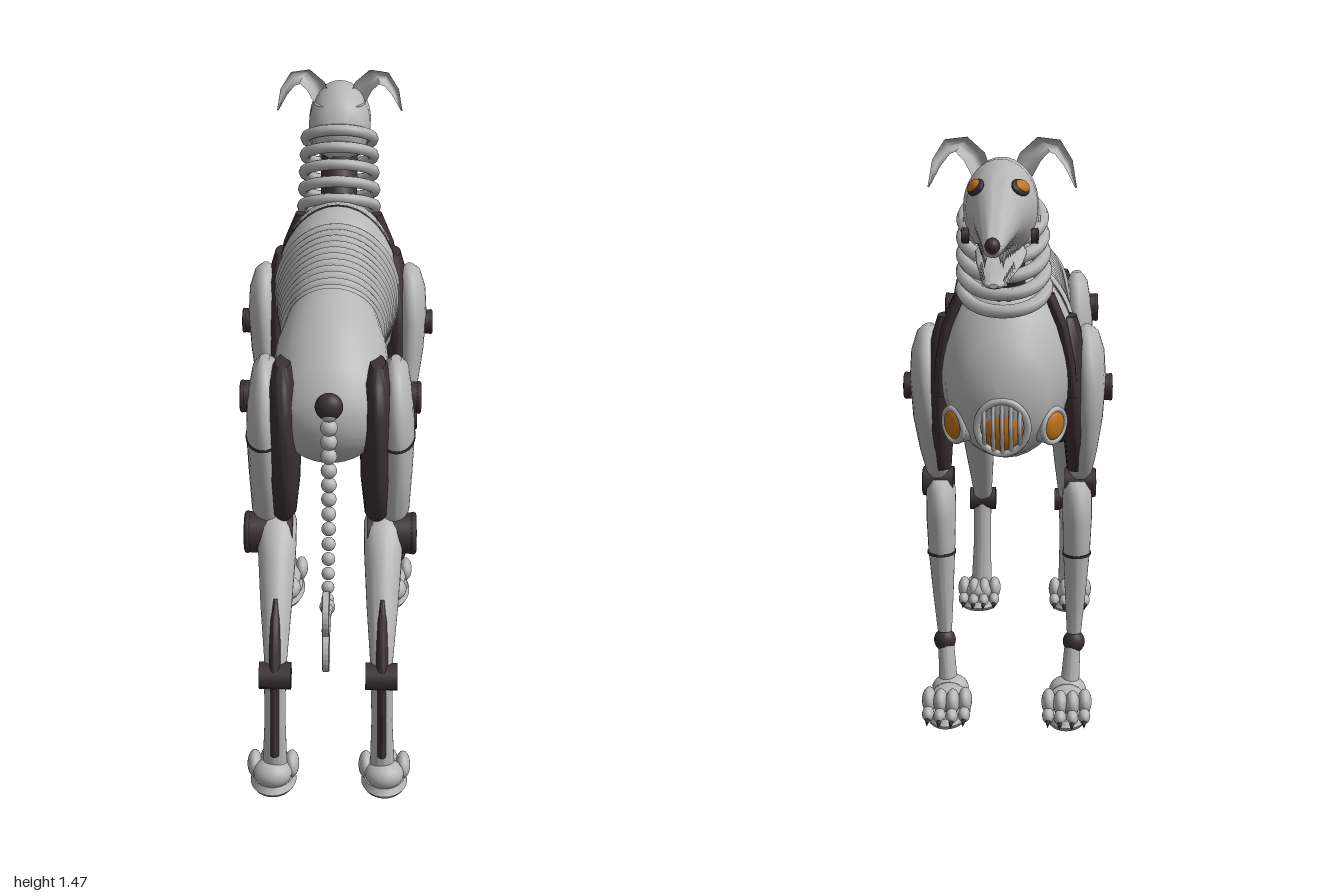
import * as THREE from 'three';
import { toCreasedNormals } from 'three/addons/utils/BufferGeometryUtils.js';

const V = (x, y, z) => new THREE.Vector3(x, y, z);

export function createModel() {
  const model = new THREE.Group();
  const mat = (name, color) => new THREE.MeshStandardMaterial({ name, color });
  const steel = mat('steel grey', 0xb6b6b6);
  const dark = mat('dark joint', 0x3a3032);
  const amber = mat('amber glass', 0xc0741c);

  const add = (name, geo, material, parent = model) => {
    const mesh = new THREE.Mesh(geo, material);
    mesh.name = name;
    parent.add(mesh);
    return mesh;
  };

  // Skin over elliptical sections [centre, axisU, axisV], with capped ends
  function loft(name, material, sections, n = 28) {
    const pos = [], idx = [], m = sections.length;
    for (const [c, u, v] of sections)
      for (let j = 0; j < n; j++) {
        const t = (j / n) * Math.PI * 2;
        pos.push(...c.clone().addScaledVector(u, Math.cos(t)).addScaledVector(v, Math.sin(t)).toArray());
      }
    const [c0, u0, v0] = sections[1];
    const flip = u0.clone().cross(v0).dot(sections[m - 1][0].clone().sub(c0)) < 0;
    const tri = (a, b, c) => (flip ? idx.push(a, c, b) : idx.push(a, b, c));
    for (let i = 0; i < m - 1; i++)
      for (let j = 0; j < n; j++) {
        const k = (j + 1) % n, a = i * n, b = a + n;
        tri(a + j, a + k, b + j);
        tri(a + k, b + k, b + j);
      }
    pos.push(...sections[0][0].toArray(), ...sections[m - 1][0].toArray());
    for (let j = 0; j < n; j++) {
      const k = (j + 1) % n;
      tri(m * n, k, j);
      tri(m * n + 1, (m - 1) * n + j, (m - 1) * n + k);
    }
    const g = new THREE.BufferGeometry();
    g.setAttribute('position', new THREE.Float32BufferAttribute(pos, 3));
    g.setIndex(idx);
    return add(name, toCreasedNormals(g, 0.9), material);
  }
  // Body rows: [zTop, yTop, zBottom, yBottom, halfWidth]
  const hull = (name, m, rows) => loft(name, m, rows.map(([zt, yt, zb, yb, w]) =>
    [V(0, (yt + yb) / 2, (zt + zb) / 2), V(w, 0, 0), V(0, (yt - yb) / 2, (zt - zb) / 2)]), 36);
  // Limb rows: [y, x, z, halfX, halfZ]
  const limb = (name, m, s, rows) => loft(name, m, rows.map(([y, x, z, rx, rz]) =>
    [V(s * x, y, z), V(rx, 0, 0), V(0, 0, rz)]));
  // Elliptical wire ring
  const ring = (name, m, c, u, v, r) => {
    const pts = Array.from({ length: 24 }, (_, i) => {
      const t = (i / 24) * Math.PI * 2;
      return c.clone().addScaledVector(u, Math.cos(t)).addScaledVector(v, Math.sin(t));
    });
    return add(name, new THREE.TubeGeometry(new THREE.CatmullRomCurve3(pts, true), 48, r, 8, true), m);
  };
  const tube = (name, m, pts, r) =>
    add(name, new THREE.TubeGeometry(new THREE.CatmullRomCurve3(pts), 24, r, 10), m);
  const ball = (name, m, p, rx, ry = rx, rz = rx) => {
    const b = add(name, new THREE.SphereGeometry(1, 20, 14), m);
    b.position.copy(p);
    b.scale.set(rx, ry, rz);
    return b;
  };
  const cone = (name, m, p, dir, r, h) => {
    const c = add(name, new THREE.ConeGeometry(r, h, 8), m);
    c.position.copy(p);
    c.quaternion.setFromUnitVectors(V(0, 1, 0), dir.clone().normalize());
  };
  // Round boss: rim, disc and domed centre facing along a direction
  function boss(name, p, dir, r, rimMat, discMat, centreMat, depth = 0.03) {
    const g = new THREE.Group();
    g.name = name;
    g.position.copy(p);
    g.quaternion.setFromUnitVectors(V(0, 1, 0), dir.clone().normalize());
    add('disc', new THREE.CylinderGeometry(r, r, depth, 24), discMat, g);
    const rim = add('rim', new THREE.TorusGeometry(r * 0.88, r * 0.16, 8, 28), rimMat, g);
    rim.rotation.x = Math.PI / 2;
    rim.position.y = depth / 2;
    const dome = add('centre', new THREE.SphereGeometry(r * 0.62, 20, 12), centreMat, g);
    dome.scale.y = 0.3;
    dome.position.y = depth / 2;
    model.add(g);
    return g;
  }

  // Torso
  hull('rump', steel, [[.34, 1.155, .22, .91, .115], [.42, 1.14, .32, .85, .135], [.5, 1.1, .42, .8, .143],
    [.57, 1.04, .52, .78, .135], [.615, .99, .58, .8, .11], [.635, .93, .62, .85, .05]]);
  hull('chest', steel, [[-.185, 1.12, -.11, .79, .13], [-.2, 1.145, -.11, .765, .15], [-.27, 1.16, -.2, .7, .165],
    [-.35, 1.162, -.3, .68, .17], [-.43, 1.15, -.42, .69, .16], [-.5, 1.09, -.5, .71, .14],
    [-.56, 1, -.555, .74, .105], [-.585, .94, -.58, .79, .06], [-.593, .88, -.593, .85, .015]]);
  ring('chestSeam', dark, V(0, .921, -.305), V(.168, 0, 0), V(0, .241, -.02), .003);
  for (let k = 0; k < 11; k++) {
    const zt = .32 - .05 * k, yb = Math.max(.75, .885 - k * .017);
    ring('rib', steel, V(0, (1.14 + yb) / 2, zt - .065), V(.112 + .004 * k, 0, 0), V(0, (1.14 - yb) / 2, .065), .017);
  }
  tube('spine', dark, [V(0, 1.07, .35), V(0, 1.08, .1), V(0, 1.06, -.25)], .025);
  loft('breastboneSpur', steel, [[.05, .77, .002], [.01, .742, .009], [-.06, .715, .015], [-.14, .7, .02], [-.24, .69, .02]]
    .map(([z, y, r]) => [V(0, y, z), V(r * 1.4, 0, 0), V(0, r, 0)]), 12);

  // Chest grille
  ball('grilleGlass', amber, V(0, .795, -.565), .05, .058, .025);
  ring('grilleRim', steel, V(0, .795, -.578), V(.06, 0, 0), V(0, .065, -.012), .009);
  for (let i = -2; i <= 2; i++) {
    const x = i * .021, h = .062 * Math.sqrt(1 - (x / .062) ** 2);
    tube('grilleBar', steel, [V(x, .795 - h, -.57), V(x, .795, -.597), V(x, .795 + h, -.588)], .005);
  }

  // Neck rings around a dark core
  tube('neckCore', dark, [V(0, 1.06, -.43), V(0, 1.17, -.5), V(0, 1.3, -.57)], .05);
  for (let k = 0; k < 5; k++)
    ring('neckRing', steel, V(0, 1.115 + .043 * k, -.475 - .019 * k), V(.1 - .002 * k, 0, 0), V(0, .047, .084), .016);

  // Head
  hull('skull', steel, [[-.475, 1.34, -.47, 1.3, .03], [-.5, 1.395, -.495, 1.24, .068], [-.57, 1.43, -.57, 1.21, .085],
    [-.64, 1.43, -.65, 1.21, .086], [-.72, 1.41, -.72, 1.24, .075], [-.78, 1.38, -.78, 1.247, .056],
    [-.88, 1.325, -.88, 1.243, .036], [-.96, 1.285, -.96, 1.24, .022], [-.985, 1.275, -.985, 1.25, .012]]);
  hull('lowerJaw', steel, [[-.58, 1.24, -.58, 1.21, .05], [-.62, 1.235, -.62, 1.195, .06], [-.7, 1.21, -.7, 1.183, .052],
    [-.82, 1.197, -.82, 1.173, .036], [-.91, 1.187, -.91, 1.166, .023], [-.932, 1.18, -.932, 1.17, .01]]);
  ball('nose', dark, V(0, 1.268, -.978), .017, .018, .02);

  for (const s of [1, -1]) {
    const P = (x, y, z) => V(s * x, y, z), out = V(s, 0, 0);

    // Face
    const eyeDir = V(s * .75, .6, -.25);
    for (const [name, m, k, lift] of [['eyeRim', dark, 1, 0], ['eye', amber, .78, .005]]) {
      const e = ball(name, m, P(.05, 1.374, -.745).addScaledVector(eyeDir, lift), .04 * k, .022 * k, .011);
      e.lookAt(e.position.clone().add(eyeDir));
    }
    boss('jawPivot', P(.078, 1.258, -.668), out, .018, dark, dark, steel, .014);
    boss('cheekStud', P(.08, 1.28, -.575), out, .016, steel, steel, steel, .014);
    for (let i = 0; i < 7; i++) {
      const z = -.76 - i * .032, x = .048 - i * .0045, long = i === 5 ? .038 : .024;
      cone('upperTooth', steel, P(x * .8, 1.25 - long / 2, z), V(0, -1, 0), .007, long);
      if (i < 5) cone('lowerTooth', steel, P(x * .75, 1.2 - i * .004, z - .014), V(0, 1, 0), .006, .024);
    }
    // Ear: flattened horn curling outward; rows are x, y, z, half depth, half thickness, tilt
    loft('ear', steel, [[.045, 1.385, -.565, .052, .025, 0], [.065, 1.43, -.565, .05, .026, .35],
      [.095, 1.458, -.56, .045, .022, .9], [.128, 1.452, -.56, .036, .018, 1.9], [.153, 1.415, -.565, .022, .012, 2.5],
      [.171, 1.36, -.575, .003, .002, 2.8]].map(([x, y, z, d, t, a]) =>
      [P(x, y, z), V(s * t * Math.cos(a), -t * Math.sin(a), 0), V(0, 0, d)]), 20);

    // Chest lamp
    boss('chestLamp', P(.108, .79, -.505), V(s * .8, -.1, -.6), .046, steel, steel, amber, .03)
      .children[2].scale.set(1.25, .45, 1.25);

    // Front leg
    limb('shoulderShell', steel, s, [[1, .195, -.305, .012, .03], [.985, .196, -.305, .028, .06], [.94, .198, -.305, .04, .092],
      [.87, .198, -.305, .044, .112], [.77, .193, -.298, .042, .095], [.68, .185, -.272, .036, .068],
      [.62, .18, -.247, .028, .045], [.605, .18, -.245, .018, .03]]);
    limb('shoulderCore', dark, s, [[1.03, .15, -.34, .02, .05], [.97, .155, -.325, .033, .105], [.87, .16, -.315, .035, .122],
      [.75, .165, -.3, .03, .1], [.63, .17, -.25, .025, .05]]);
    loft('shoulderStrap', dark, [[.105, 1.1, -.462], [.138, 1.02, -.462], [.155, .93, -.445], [.162, .84, -.41]]
      .map(([x, y, z]) => [P(x, y, z), V(.014, 0, 0), V(0, 0, .026)]), 16);
    boss('shoulderHub', P(.238, .845, -.293), out, .033, dark, dark, steel);
    const elbow = add('elbowAxle', new THREE.CylinderGeometry(.038, .038, .07, 24), dark);
    elbow.rotation.z = Math.PI / 2;
    elbow.position.copy(P(.175, .59, -.235));
    boss('elbowHub', P(.203, .59, -.235), out, .036, dark, dark, steel, .02);
    limb('forearm', steel, s, [[.6, .172, -.245, .025, .04], [.575, .172, -.248, .037, .064], [.5, .172, -.248, .037, .064],
      [.42, .171, -.247, .034, .053], [.3, .168, -.242, .026, .036], [.2, .165, -.24, .018, .024]]);
    limb('forearmSeam', dark, s, [[.413, .171, -.247, .036, .055], [.407, .171, -.247, .036, .055]]);
    ball('wrist', dark, P(.165, .175, -.24), .028, .03, .028);
    limb('pastern', steel, s, [[.17, .162, -.24, .02, .024], [.06, .155, -.255, .024, .03]]);

    // Hind leg
    limb('thighCore', dark, s, [[1.035, .112, .525, .018, .05], [1, .112, .515, .034, .1], [.93, .112, .505, .04, .135],
      [.84, .11, .505, .04, .125], [.74, .11, .51, .038, .09], [.65, .112, .515, .03, .055], [.63, .112, .515, .015, .03]]);
    limb('thighShell', steel, s, [[1.035, .155, .5, .012, .03], [1.01, .155, .495, .03, .08], [.93, .157, .495, .042, .12],
      [.84, .157, .497, .044, .113], [.75, .155, .498, .042, .08], [.65, .152, .507, .038, .05], [.62, .15, .51, .025, .03]]);
    limb('thighSeam', dark, s, [[.843, .157, .497, .046, .115], [.837, .157, .497, .046, .115]]);
    cone('thighSpur', dark, P(.1, .888, .345), V(0, -.2, -1), .028, .11);
    boss('hipHub', P(.194, .935, .495), out, .038, dark, dark, steel, .03);
    const knee = add('kneeAxle', new THREE.CylinderGeometry(.05, .05, .1, 24), dark);
    knee.rotation.z = Math.PI / 2;
    knee.position.copy(P(.14, .592, .522));
    boss('kneeHub', P(.185, .592, .522), out, .05, dark, dark, steel, .03);
    limb('shin', steel, s, [[.65, .128, .5, .035, .03], [.62, .128, .52, .047, .06], [.56, .128, .56, .046, .07],
      [.46, .127, .645, .038, .056], [.36, .126, .718, .028, .034], [.32, .126, .745, .025, .024]]);
    limb('shinStripe', dark, s, [[.49, .127, .672, .006, .01], [.45, .127, .69, .012, .028], [.38, .127, .735, .014, .026],
      [.33, .127, .755, .014, .022]]);
    const ankle = add('ankle', new THREE.CylinderGeometry(.033, .033, .076, 10), dark);
    ankle.rotation.z = Math.PI / 2;
    ankle.position.copy(P(.126, .322, .747));
    limb('hock', steel, s, [[.31, .127, .742, .026, .024], [.2, .128, .74, .025, .024], [.06, .13, .728, .03, .03]]);
    limb('hockStripe', dark, s, [[.3, .127, .757, .011, .02], [.11, .129, .752, .011, .018]]);

    // Paws with toes and claws
    for (const [x, zHeel, zTip] of [[.15, -.21, -.455], [.135, .785, .625]]) {
      const len = zHeel - zTip;
      limb('sole', steel, 1, [[.004, s * x, (zHeel + zTip) / 2, .05, len / 2 - .01],
        [.014, s * x, (zHeel + zTip) / 2, .056, len / 2], [.03, s * x, (zHeel + zTip) / 2, .05, len / 2 - .01]]);
      ball('heel', steel, P(x, .053, zHeel - .045), .047, .035, .045);
      ball('instep', steel, P(x, .052, zHeel - len * .5), .045, .03, len * .32);
      for (let i = 0; i < 4; i++) {
        const dx = (i - 1.5) * .03, back = Math.abs(i - 1.5) * .014;
        ball('toe', steel, P(x + dx, .058, zTip + .06 + back), .018, .032, .036);
        ball('toeTip', steel, P(x + dx, .032, zTip + .025 + back), .015, .019, .026);
        cone('claw', dark, P(x + dx, .02, zTip - .006 + back), V(0, -.35, -1), .008, .034);
      }
    }
  }

  // Beaded tail
  ball('tailRoot', dark, V(0, .975, .66), .033, .033, .027);
  const tail = new THREE.CatmullRomCurve3([V(0, .96, .663), V(0, .85, .668), V(0, .73, .68), V(0, .63, .715),
    V(0, .57, .775), V(0, .545, .84)]);
  for (let i = 0; i <= 14; i++) ball('tailBead', steel, tail.getSpacedPoints(14)[i], .021 - i * .0005);
  tube('tailRod', steel, [V(0, .55, .82), V(0, .542, .88), V(0, .542, .945)], .01);
  ball('keyCollar', steel, V(0, .545, .825), .018, .02, .012);

  // Winding key: two pierced discs
  for (const y of [.59, .5]) {
    const shape = new THREE.Shape().absarc(0, 0, .048, 0, Math.PI * 2);
    shape.holes.push(new THREE.Path().absarc(0, 0, .016, 0, Math.PI * 2, true));
    const g = new THREE.ExtrudeGeometry(shape, { depth: .01, bevelSize: .003, bevelThickness: .003, bevelSegments: 2, curveSegments: 12 });
    const key = add('windingKey', g.translate(0, 0, -.005), steel);
    key.rotation.y = Math.PI / 2;
    key.position.set(0, y, .946);
  }
  return model;
}
